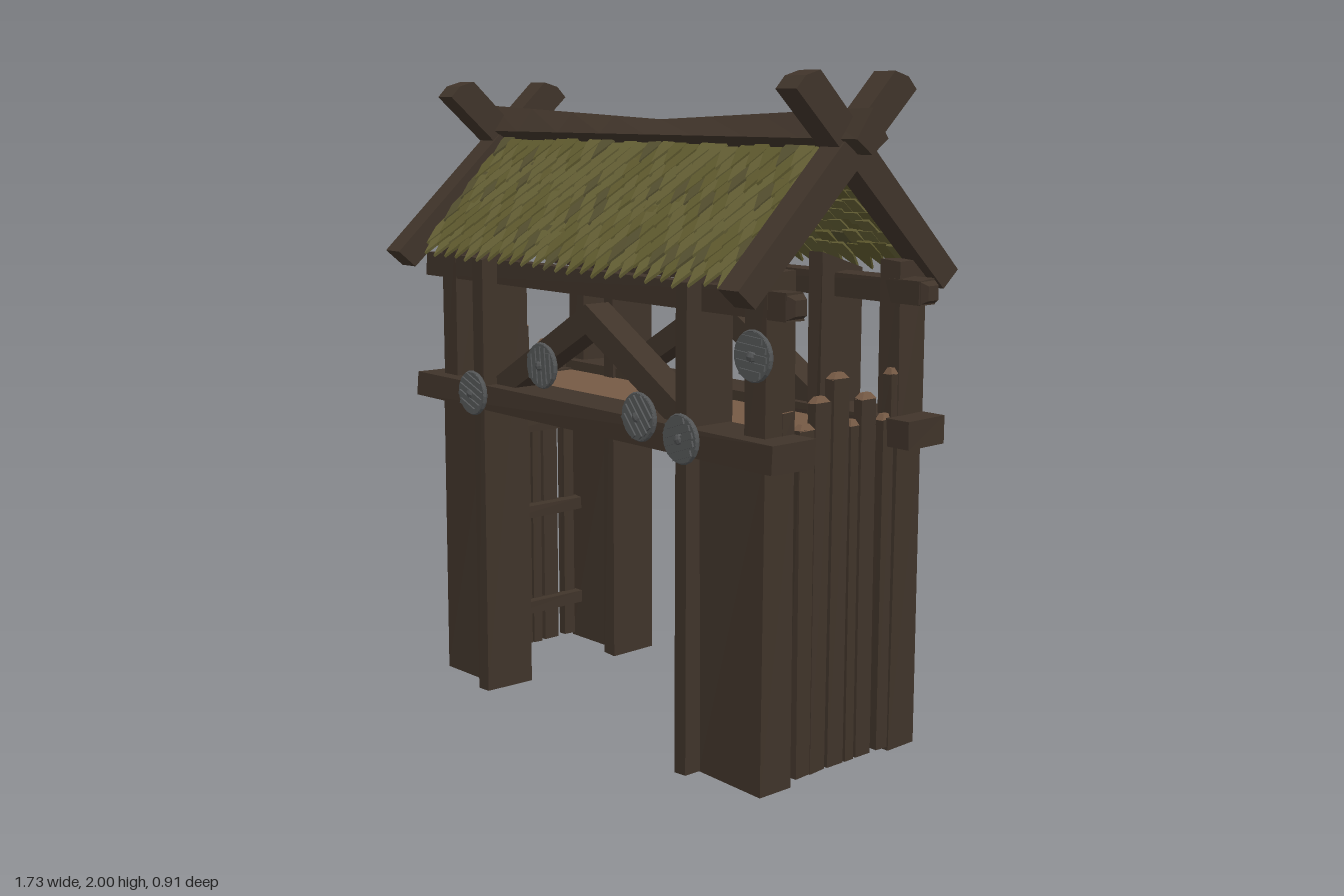
import * as THREE from 'three';
import { mergeGeometries } from 'three/addons/utils/BufferGeometryUtils.js';

const mat = (color) => new THREE.MeshStandardMaterial({ color, flatShading: true });
const wood = mat(0x40342a), plankWood = mat(0x765a45), iron = mat(0x545657);
const mossy = [mat(0x656035), mat(0x5f5a2e), mat(0x555030)];

// small seeded number source for hand-hewn irregularity
let seed = 7;
const rnd = () => (seed = (seed * 16807) % 2147483647) / 2147483647;
const wob = (a) => (rnd() - 0.5) * 2 * a;

function add(parent, name, geo, material) {
  const m = new THREE.Mesh(geo, material);
  m.name = name;
  parent.add(m);
  return m;
}

// timber given by its min and max corners, with slightly uneven corners
function timber(parent, name, [x0, x1], [y0, y1], [z0, z1], rough = 0.004, material = wood) {
  const g = new THREE.BoxGeometry(x1 - x0, y1 - y0, z1 - z0);
  const p = g.attributes.position, shift = {};
  for (let i = 0; i < p.count; i++) {
    const key = [p.getX(i) > 0, p.getY(i) > 0, p.getZ(i) > 0].join();
    const s = (shift[key] ??= [wob(rough), wob(rough), wob(rough)]);
    p.setXYZ(i, p.getX(i) + s[0], p.getY(i) + s[1], p.getZ(i) + s[2]);
  }
  g.translate((x0 + x1) / 2, (y0 + y1) / 2, (z0 + z1) / 2);
  return add(parent, name, g, material);
}

// cut a post's top at a slope so it stays under the roof
function slantTop(post) {
  const p = post.geometry.attributes.position;
  for (let i = 0; i < p.count; i++)
    if (p.getY(i) > 1.4 && Math.abs(p.getZ(i)) > 0.27) p.setY(i, p.getY(i) - 0.055);
}

// range mirrored when s is -1
const side = (s, a, b) => (s > 0 ? [a, b] : [-b, -a]);

function polygon(points, depth) {
  const shape = new THREE.Shape(points.map(([x, y]) => new THREE.Vector2(x, y)));
  return new THREE.ExtrudeGeometry(shape, { depth, bevelEnabled: false });
}

function frame() {
  const g = new THREE.Group();
  g.name = 'frame';
  for (const sz of [1, -1]) {
    const legZ = sz > 0 ? [0.185, 0.302] : [-0.345, -0.235];
    for (const sx of [1, -1]) {
      slantTop(timber(g, 'innerPost', side(sx, 0.457, 0.51), [0.004, 1.48], side(sz, 0.18, 0.355)));
      timber(g, 'legPanel', side(sx, 0.505, 0.762), [0.004, 0.96], legZ);
      timber(g, 'outerPost', side(sx, 0.685, 0.762), [0.94, 1.47], legZ);
    }
    timber(g, 'lowerBeam', [-0.845, 0.842], [0.94, 1.02], side(sz, 0.19, 0.35));
    timber(g, 'eaveBeam', [-0.855, 0.835], [1.345, 1.42], side(sz, 0.237, 0.297));
    // worn tip on one end of the eave beam
    const tip = new THREE.CylinderGeometry(0.03, 0.048, 0.025, 4).rotateY(Math.PI / 4).rotateZ(-Math.PI / 2);
    add(g, 'eaveBeamTip', tip.translate(0.846, 1.383, sz * 0.267), wood);
    // gable-shaped brace standing on the lower beam
    const brace = polygon([[-0.52, 1.01], [-0.38, 1.01], [0, 1.23], [0.38, 1.01], [0.52, 1.01], [0, 1.32]], 0.09);
    add(g, 'archBrace', brace.translate(0, 0, sz > 0 ? 0.215 : -0.305), wood);
  }
  timber(g, 'floor', [-0.7, 0.7], [0.955, 0.99], [-0.2, 0.2], 0, plankWood);
  g.position.x = 0.008;
  return g;
}

// plank fence closing each end: plank centre, width, bottom and top
function fence(sx) {
  const g = new THREE.Group();
  g.name = 'fence';
  const planks = [
    [0.212, 0.045, 1.0, 1.1], [0.135, 0.06, 0.02, 1.04], [0.075, 0.06, 0.02, 1.11], [0.002, 0.065, 0.02, 1.17],
    [-0.057, 0.036, 0.02, 1.03], [-0.115, 0.06, 0.02, 1.1], [-0.197, 0.045, 0.02, 1.03], [-0.222, 0.03, 1.0, 1.16],
  ];
  for (const [z, w, y0, y1] of planks) {
    timber(g, 'plank', side(sx, 0.73, 0.762), [y0, y1 - 0.015], [z - w / 2, z + w / 2], 0.002);
    const cap = new THREE.CylinderGeometry(0.35, 0.707, 0.018, 4, 1).rotateY(Math.PI / 4).scale(0.032, 1, w);
    add(g, 'plankTip', cap.translate(sx * 0.746, y1 - 0.007, z), plankWood);
  }
  for (const y of [0.16, 0.505, 0.81, 0.975])
    timber(g, 'rail', side(sx, 0.7, 0.735), [y - 0.022, y + 0.022], [-0.23, 0.23], 0.002);
  g.position.x = 0.008;
  return g;
}

// rows of pointed shingles, both slopes, sorted into three shades
function shingles() {
  const g = new THREE.Group();
  g.name = 'shingleRoof';
  const bins = [[], [], []];
  const w = 0.03, slope = 0.77;
  for (const back of [0, 1])
    for (let row = 0; row < 10; row++) {
      const cols = row % 2 ? 25 : 26;
      const top = row ? 0.125 : 0.09;
      for (let c = 0; c < cols; c++) {
        const s = 0.093 + row * 0.0475 + wob(0.01);
        const x = -0.735 + (c + (row % 2) / 2) * 0.058;
        const tile = polygon([[0, 0], [w, 0.07], [w * 0.9, top], [-w * 0.9, top], [-w, 0.07]], 0.009);
        tile.rotateZ(wob(0.06)).rotateX(-slope - 0.09 + wob(0.03));
        tile.translate(x, 1.795 - s * Math.cos(slope), 0.036 + s * Math.sin(slope));
        if (back) tile.rotateY(Math.PI).translate(-0.02, 0, 0);
        const r = rnd();
        bins[r < 0.6 ? 0 : r < 0.9 ? 1 : 2].push(tile);
      }
    }
  bins.forEach((b, i) => add(g, 'shingles', mergeGeometries(b), mossy[i]));
  return g;
}

function roofTimbers() {
  const g = new THREE.Group();
  g.name = 'roofTimbers';
  // diamond-section ridge, its upper edge sagging at the middle
  const ridge = new THREE.CylinderGeometry(0.063, 0.063, 1.73, 4, 8).rotateZ(Math.PI / 2);
  const p = ridge.attributes.position;
  for (let i = 0; i < p.count; i++) {
    const y = p.getY(i);
    if (y > 0.01) p.setY(i, y - 0.038 * (1 - Math.abs(p.getX(i)) / 0.865));
    else if (y > -0.01) p.setY(i, y - 0.02);
  }
  add(g, 'ridgeBeam', ridge.translate(0, 1.838, 0), wood);
  // crossed gable boards: outer x, top height, foot reach
  for (const [x, top, foot] of [[0.81, 2.0, 0.445], [-0.77, 1.98, 0.457]])
    for (const s of [1, -1]) {
      const pts = [[foot, 1.435], [foot - 0.062, 1.383], [-0.235, top - 0.05], [-0.2, top - 0.015], [-0.145, top]];
      const board = polygon(pts.map(([z, y]) => [z * s, y]), 0.078).rotateY(-Math.PI / 2);
      add(g, 'gableBoard', board.translate(x + s * 0.003, 0, 0), wood);
    }
  return g;
}

function shield(x, y, z, turn) {
  const g = new THREE.Group();
  g.name = 'roundShield';
  add(g, 'shieldDisc', new THREE.CylinderGeometry(0.068, 0.068, 0.016, 20).rotateX(Math.PI / 2), iron);
  add(g, 'shieldRim', new THREE.TorusGeometry(0.067, 0.006, 5, 20), iron);
  add(g, 'shieldBoss', new THREE.SphereGeometry(0.018, 8, 6).scale(1, 1, 0.8).translate(0, 0, 0.007), iron);
  // raised boards across the face
  for (let i = -2; i <= 2; i++) {
    const half = Math.sqrt(0.06 ** 2 - (i * 0.023) ** 2);
    add(g, 'shieldBoard', new THREE.BoxGeometry(0.017, half * 2, 0.008).translate(i * 0.023, 0, 0.01), iron);
  }
  g.position.set(x, y, z);
  g.rotation.z = turn;
  return g;
}

export function createModel() {
  seed = 7;
  const model = new THREE.Group();
  model.name = 'gatehouse';
  model.add(frame(), fence(1), fence(-1), shingles(), roofTimbers());
  const shields = [
    [-0.492, 0.995, 0.368, 1.2], [-0.197, 1.112, 0.313, 0.1], [0.325, 1.03, 0.364, 0.7],
    [0.508, 0.993, 0.368, 1.9], [0.733, 1.245, 0.31, 1.5],
  ];
  shields.forEach((s) => model.add(shield(...s)));
  return model;
}
